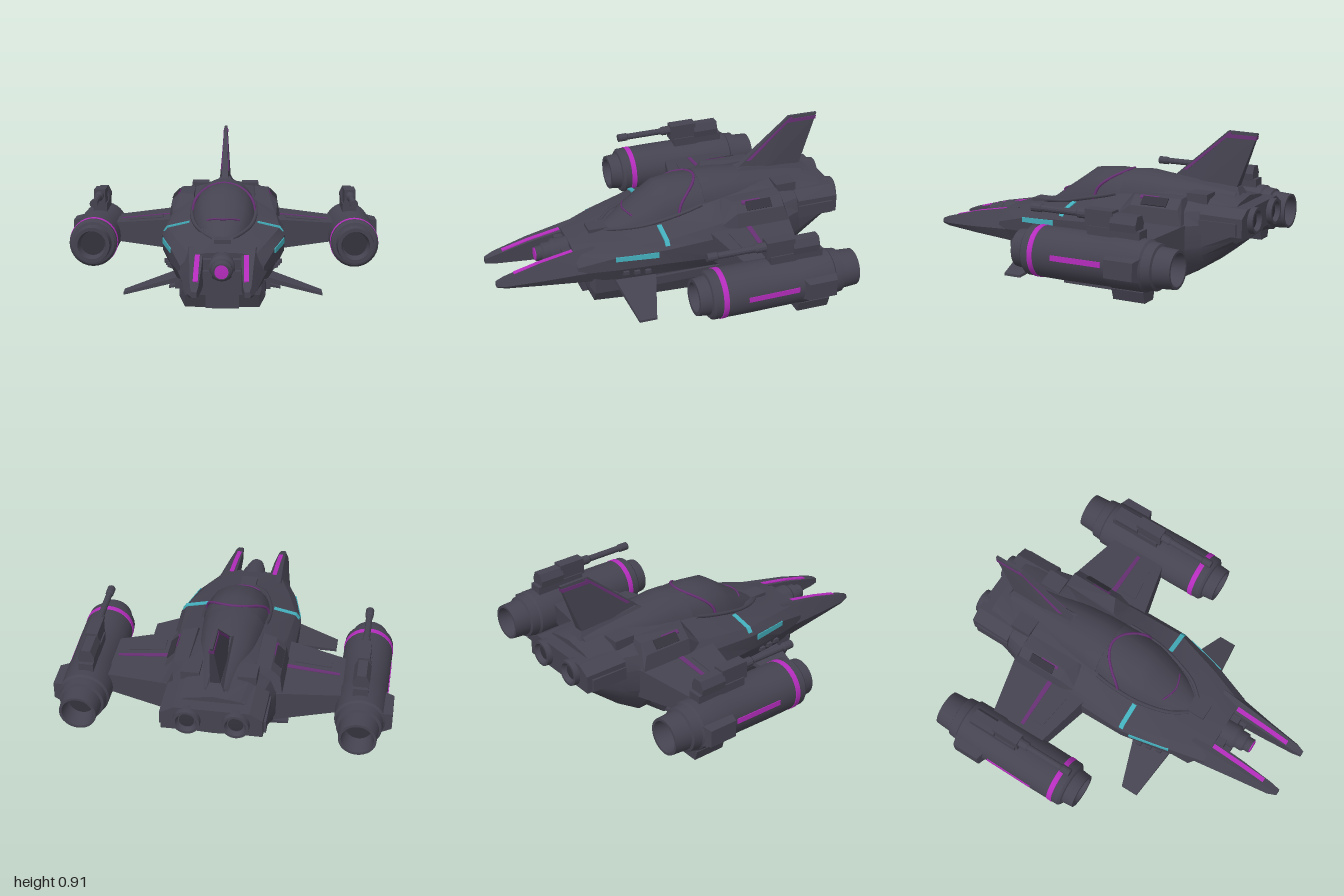
import * as THREE from 'three';
import { toCreasedNormals } from 'three/addons/utils/BufferGeometryUtils.js';
import { ConvexGeometry } from 'three/addons/geometries/ConvexGeometry.js';

function paint(name, color) {
  const m = new THREE.MeshStandardMaterial({ color });
  m.name = name;
  return m;
}

// Skin over rings of [x, y] points, ordered from front (+z) to back, capped at both ends
function loft(sections, crease = 0.5) {
  const pos = [], idx = [], n = sections[0].ring.length;
  for (const s of sections) for (const [x, y] of s.ring) pos.push(x, y, s.z);
  for (let i = 0; i < sections.length - 1; i++) for (let j = 0; j < n; j++) {
    const a = i * n + j, b = i * n + (j + 1) % n, c = a + n, d = b + n;
    idx.push(a, c, b, b, c, d);
  }
  [0, sections.length - 1].forEach((s, back) => {
    const ring = sections[s].ring, mid = pos.length / 3;
    pos.push(ring.reduce((t, p) => t + p[0], 0) / n, ring.reduce((t, p) => t + p[1], 0) / n, sections[s].z);
    for (let j = 0; j < n; j++) {
      const a = s * n + j, b = s * n + (j + 1) % n;
      idx.push(...(back ? [mid, b, a] : [mid, a, b]));
    }
  });
  const g = new THREE.BufferGeometry();
  g.setAttribute('position', new THREE.Float32BufferAttribute(pos, 3));
  g.setIndex(idx);
  return toCreasedNormals(g, crease);
}

// Closes a half profile (bottom centre to top centre) by mirroring it
const half = (z, pts) => ({ z, ring: [...pts, ...pts.slice(1, -1).reverse().map(([x, y]) => [-x, y])] });

const hullOf = pts => new ConvexGeometry(pts.map(p => new THREE.Vector3(...p)));

// Tapered slab between x stations, each [x, zFront, zBack, yLow, yHigh]
const slab = (...ends) => hullOf(ends.flatMap(([x, f, b, lo, hi]) =>
  [[x, lo, f], [x, hi, f], [x, lo, b], [x, hi, b]]));

const block = (x0, x1, y0, y1, z0, z1) => new THREE.BoxGeometry(x1 - x0, y1 - y0, z1 - z0)
  .translate((x0 + x1) / 2, (y0 + y1) / 2, (z0 + z1) / 2);

// Thin round moulding through points
const tube = (pts, r) => new THREE.TubeGeometry(
  new THREE.CatmullRomCurve3(pts.map(p => new THREE.Vector3(...p))), 28, r, 6);

// Turned part along z from [radius, z] points, rear to front
const turned = (pts, x, y, sides = 32) => toCreasedNormals(
  new THREE.LatheGeometry(pts.map(p => new THREE.Vector2(...p)), sides).rotateX(Math.PI / 2).translate(x, y, 0), 0.5);

function mirrored(geo) {
  const g = geo.index ? geo.toNonIndexed() : geo.clone();
  g.scale(-1, 1, 1);
  const idx = [];
  for (let i = 0; i < g.attributes.position.count; i += 3) idx.push(i, i + 2, i + 1);
  g.setIndex(idx);
  return g;
}

export function createModel() {
  const model = new THREE.Group();
  model.name = 'spacecraft';
  const grey = paint('charcoal hull', 0x454350);
  const dark = paint('dark recess', 0x34323c);
  const magenta = paint('magenta trim', 0xb52cbd);
  const plum = paint('plum trim', 0x673073);
  const cyan = paint('cyan trim', 0x43b0bd);

  const add = (name, geo, mat = grey) => {
    const m = new THREE.Mesh(geo, mat);
    m.name = name;
    model.add(m);
  };
  const both = (name, geo, mat = grey) => {
    add(name + 'Left', geo, mat);
    add(name + 'Right', mirrored(geo), mat);
  };

  // Main fuselage
  add('fuselage', loft([
    half(0.56, [[0, .19], [.1, .19], [.2, .21], [.222, .26], [.222, .3], [.17, .355], [.1, .37], [0, .375]]),
    half(0.35, [[0, .17], [.14, .17], [.25, .2], [.285, .28], [.285, .36], [.24, .395], [.15, .41], [0, .41]]),
    half(0.08, [[0, .16], [.2, .16], [.3, .22], [.34, .3], [.345, .39], [.315, .43], [.18, .46], [0, .5]]),
    half(-0.2, [[0, .15], [.2, .15], [.3, .21], [.34, .28], [.34, .4], [.3, .46], [.18, .53], [0, .58]]),
    half(-0.6, [[0, .11], [.2, .12], [.28, .22], [.31, .29], [.31, .42], [.27, .5], [.17, .57], [0, .6]]),
    half(-0.74, [[0, .2], [.2, .21], [.25, .27], [.27, .32], [.27, .44], [.24, .51], [.16, .56], [0, .595]]),
    half(-0.9, [[0, .33], [.18, .34], [.22, .36], [.24, .39], [.24, .45], [.21, .52], [.14, .55], [0, .57]]),
  ], 0.4));

  // Canopy running back into the dorsal spine
  const arch = (w, lo, hi) => Array.from({ length: 9 }, (_, i) => {
    const a = i * Math.PI / 8;
    return [w * Math.cos(a), lo + (hi - lo) * Math.pow(Math.sin(a), 0.85)];
  });
  const arches = list => loft(list.map(([z, w, lo, hi]) => ({ z, ring: arch(w, lo, hi) })), 0.7);
  add('canopy', arches([[.36, .05, .37, .405], [.28, .1, .38, .455], [.2, .135, .4, .515], [.1, .165, .42, .585],
    [.03, .177, .44, .635], [-.1, .183, .46, .65], [-.2, .175, .48, .645]]));
  add('dorsalSpine', arches([[-.2, .178, .48, .648], [-.3, .17, .49, .655], [-.5, .15, .5, .63], [-.84, .09, .5, .595]]));
  // Trim sweeps forward and down from the canopy crown
  add('canopyRearTrim', tube(arch(.18, .485, .644).map(([x, y]) => [x, y, -.19 + .15 * (x / .18) ** 2]), .008), plum);
  add('canopyFrontTrim', tube([[-.09, .49, .2], [-.05, .498, .218], [0, .498, .228], [.05, .498, .218], [.09, .49, .2]], .005), plum);
  both('canopyRail', tube([[.05, .41, .35], [.112, .435, .27], [.155, .455, .15], [.178, .485, .03], [.182, .515, -.1], [.176, .535, -.18]], .011));
  add('canopySill', block(-.045, .045, .4, .42, .33, .44));

  // Nose prongs and their trim
  both('noseProng', loft([
    { z: 1, ring: [[.12, .225], [.145, .225], [.152, .235], [.146, .256], [.12, .253]] },
    { z: .95, ring: [[.113, .218], [.16, .218], [.172, .235], [.155, .276], [.113, .27]] },
    { z: .75, ring: [[.105, .205], [.18, .205], [.2, .245], [.165, .33], [.105, .322]] },
    { z: .45, ring: [[.1, .185], [.22, .195], [.247, .27], [.18, .388], [.1, .378]] },
  ]));
  both('prongStripe', hullOf([.117, .143].flatMap(x => [[.565, .3635], [.75, .329], [.9, .291]].flatMap(([z, y]) =>
    [[x, y, z], [x, y - .009, z]]))), magenta);

  // Nose gun between the prongs
  add('noseBlock', block(-.1, .1, .22, .345, .53, .61));
  add('noseGun', turned([[0, .55], [.07, .55], [.07, .64], [.055, .66], [.055, .7], [.042, .71], [.042, .742], [0, .742]], 0, .305, 20));
  add('noseLamp', turned([[.036, .742], [.036, .747], [0, .749]], 0, .305, 20), magenta);
  both('noseBrace', block(.05, .1, .25, .29, .58, .65));

  // Belly tray, panels and chin intakes
  const tray = (z, wb, yb, wt, ym) => half(z, [[0, yb], [wb, yb], [wt, ym], [wt, .21], [0, .21]]);
  add('bellyTray', loft([tray(.49, .2, .13, .21, .16), tray(.465, .2, .06, .23, .12), tray(.2, .21, .043, .24, .12),
    tray(-.2, .22, .032, .25, .12), tray(-.43, .2, .03, .23, .12), tray(-.54, .17, .11, .21, .15)], 0.2));
  add('chinPlate', block(-.09, .09, .06, .19, .44, .5));
  both('chinIntake', block(.11, .185, .075, .125, .43, .469), dark);
  add('keelPlate', block(-.11, .11, .024, .05, -.38, .1));
  both('bellyRib', block(.21, .262, .125, .175, -.4, .3));
  both('bellyFin', slab([.19, -.22, -.43, .04, .065], [.33, -.3, -.37, 0, .01]));

  // Canards
  both('canard', slab([.2, .36, .1, .185, .215], [.545, .315, .215, .092, .106]));

  // Side and shoulder details
  both('shoulderBlock', hullOf([[.16, .48, -.24], [.3, .44, -.24], [.18, .56, -.3], [.26, .565, -.34], [.31, .515, -.34],
    [.325, .43, -.34], [.18, .57, -.62], [.26, .565, -.62], [.31, .515, -.62], [.325, .43, -.65], [.16, .48, -.65]]));
  both('shoulderVent', hullOf([[.268, .561, -.4], [.306, .523, -.4], [.268, .561, -.55], [.306, .523, -.55],
    [.272, .565, -.4], [.31, .527, -.4], [.272, .565, -.55], [.31, .527, -.55]]), dark);
  both('shoulderTrim', hullOf([-.38, -.49].flatMap(z =>
    [[.262, .56, z], [.262, .568, z], [.276, .548, z], [.276, .556, z]])), plum);
  both('rearDeckBox', block(.1, .2, .53, .59, -.74, -.62));
  for (let i = 0; i < 3; i++) both('sideLouvre' + i, slab([.25, .32 - i * .06, .29 - i * .06, .23, .27],
    [.302 + i * .012, .32 - i * .06, .29 - i * .06, .25, .27]));
  both('sideCyanStripe', hullOf([[.36, .283, .335], [.36, .283, .361], [.13, .336, .347], [.13, .336, .38]]
    .flatMap(([z, x, y]) => [[x + .004, y, z], [x - .004, y, z]])), cyan);
  both('deckCyanStripe', slab([.19, .09, .064, .457, .465], [.318, .09, .064, .427, .436]), cyan);
  both('edgeCyanStripe', hullOf([.064, .09].flatMap(z =>
    [[.31, .43, z], [.318, .436, z], [.331, .408, z], [.337, .41, z]])), cyan);

  // Wings
  both('wing', slab([.28, -.17, -.66, .26, .435], [.65, -.26, -.58, .295, .4]));
  both('wingPanel', slab([.36, -.27, -.36, .4, .433], [.56, -.3, -.36, .38, .414]));
  both('wingStripe', slab([.3, -.39, -.42, .427, .436], [.61, -.395, -.415, .398, .407]), plum);

  // Tail fin and trim, from [z, y, half width] points
  const finPart = tips => hullOf(tips.flatMap(([z, y, w]) => [[w, y, z], [-w, y, z]]));
  add('tailFin', finPart([[-.44, .62, .02], [-.82, .57, .03], [-.6, .58, .036], [-.77, .908, .008],
    [-.94, .905, .008], [-.93, .88, .011]]));
  add('finTipStripe', finPart([[-.775, .89, .013], [-.76, .87, .014], [-.932, .87, .014], [-.936, .89, .013]]), plum);
  add('finEdgeStripe', finPart([[-.512, .675, .022], [-.535, .675, .026], [-.775, .9, .011], [-.795, .9, .011]]), plum);
  add('finBase', finPart([[-.42, .62, .045], [-.48, .645, .03], [-.84, .61, .03], [-.86, .57, .05], [-.42, .57, .05]]));

  // Stern housing and twin exhausts
  add('sternHousing', hullOf([[.27, .4], [.27, .5], [.2, .54]].flatMap(([x, y]) =>
    [1, -1].flatMap(s => [[s * x, y, -.73], [s * x * .98, y - .005, -.97]]))));
  both('sternCheek', block(.2, .278, .4, .47, -.94, -.73));
  both('exhaust', turned([[0, -.975], [.045, -.975], [.056, -1], [.07, -1], [.074, -.95], [.068, -.93], [.075, -.85], [0, -.85]], .127, .465, 24));
  both('exhaustCore', turned([[0, -.98], [.04, -.977]], .127, .465, 24), dark);

  // Engine pods
  const X = .742, Y = .325;
  both('enginePod', turned([[0, -.74], [.07, -.74], [.086, -.84], [.1, -.84], [.106, -.745], [.12, -.74], [.125, -.69],
    [.135, -.68], [.138, -.5], [.133, -.48], [.136, -.2], [.134, .0], [.122, .012], [.106, .016], [.1, .08],
    [.08, .08], [.068, .01], [0, .01]], X, Y));
  both('podIntakeFace', turned([[.068, .0125], [0, .0125]], X, Y, 24), dark);
  both('podExhaustFace', turned([[0, -.7425], [.07, -.7425]], X, Y, 24), dark);
  both('podRing', turned([[.134, -.07], [.1375, -.068], [.1375, -.04], [.134, -.038]], X, Y), magenta);
  both('podSideStripe', hullOf([.318, .347].flatMap(y => [[-.18, .1375], [-.47, .1355]].flatMap(([z, r]) =>
    [[X + r, y, z], [X + r - .008, y, z]]))), magenta);
  both('podOuterBox', slab([X + .1, -.49, -.69, .26, .39], [.912, -.51, -.67, .28, .375]));
  both('podKeelBox', hullOf([[.68, .2], [.81, .2], [.7, .14], [.79, .14]].flatMap(([x, y]) => [[x, y, -.5], [x, y, -.68]])));
  both('podKeelRail', block(X - .03, X + .03, .18, .21, -.5, -.2));

  // Pod-top guns
  const G = .735;
  both('gunMount', block(G - .04, G + .04, .44, .5, -.64, -.34));
  both('gunBreech', hullOf([[.04, .49], [.045, .53], [.025, .572]].flatMap(([x, y]) =>
    [-1, 1].flatMap(s => [[G + s * x, y, -.62], [G + s * x, y, -.47]]))));
  both('gunReceiver', block(G - .033, G + .033, .49, .585, -.48, -.32));
  both('gunBarrel', turned([[.026, -.36], [.026, -.27], [.018, -.26], [.018, -.05], [.023, -.045], [.023, .01], [0, .01]], G, .55, 12));

  return model;
}
